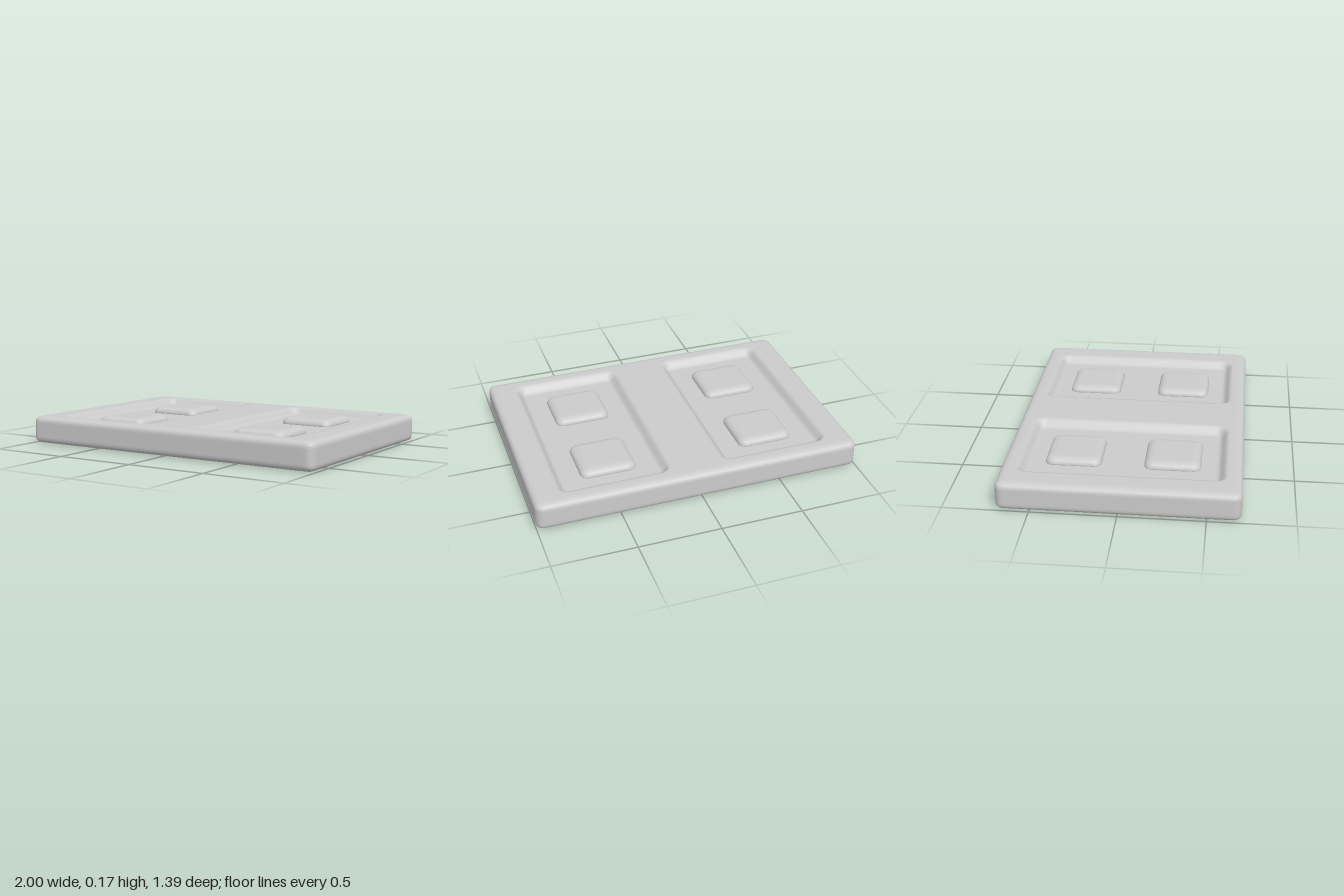
import * as THREE from 'three';
import { mergeVertices } from 'three/addons/utils/BufferGeometryUtils.js';

const WIDTH = 2, DEPTH = 1.39, HEIGHT = 0.17;
const RECESS = { x: 0.5, halfX: 0.325, halfZ: 0.585, corner: 0.05, depth: 0.045, slope: 0.035 };

// Box standing on y = 0 with elliptically rounded edges; rule() may then move each vertex
function softBox(w, h, d, rSide, rUp, segs, rule) {
  const geo = new THREE.BoxGeometry(w, h, d, ...segs);
  geo.deleteAttribute('uv');
  geo.deleteAttribute('normal');
  const pos = geo.attributes.position;
  const radius = new THREE.Vector3(rSide, rUp, rSide);
  const inner = new THREE.Vector3(w / 2, h / 2, d / 2).sub(radius);
  const lower = inner.clone().negate();
  const p = new THREE.Vector3(), core = new THREE.Vector3();
  for (let i = 0; i < pos.count; i++) {
    p.fromBufferAttribute(pos, i);
    core.copy(p).clamp(lower, inner);
    p.sub(core).divide(radius).normalize().multiply(radius).add(core);
    p.y += h / 2;
    rule(p);
    pos.setXYZ(i, p.x, p.y, p.z);
  }
  const merged = mergeVertices(geo, 1e-5);
  merged.computeVertexNormals();
  return merged;
}

// Signed distance to the rounded outline of the nearer recess
function recessDistance(x, z) {
  const { corner } = RECESS;
  const qx = Math.abs(Math.abs(x) - RECESS.x) - RECESS.halfX + corner;
  const qz = Math.abs(z) - RECESS.halfZ + corner;
  return Math.hypot(Math.max(qx, 0), Math.max(qz, 0)) + Math.min(Math.max(qx, qz), 0) - corner;
}

export function createModel() {
  const model = new THREE.Group();
  model.name = 'panelledSlab';
  const material = new THREE.MeshStandardMaterial({ color: 0xcccccc });

  // Slab with two sunken rectangular panels in its top
  const slabGeo = softBox(WIDTH, HEIGHT, DEPTH, 0.05, 0.03, [160, 12, 112], (p) => {
    if (p.y < HEIGHT - 1e-4) return;
    const sink = 1 - THREE.MathUtils.smoothstep(recessDistance(p.x, p.z), -RECESS.slope, RECESS.slope * 0.5);
    p.y -= RECESS.depth * sink;
  });
  const slab = new THREE.Mesh(slabGeo, material);
  slab.name = 'slab';
  model.add(slab);

  // Soft square pads with flared feet, two in each panel
  const padHeight = 0.055;
  const padGeo = softBox(0.34, padHeight, 0.33, 0.05, 0.025, [32, 12, 32], (p) => {
    const t = 1 - p.y / padHeight;
    const flare = 0.96 + 0.12 * t * t;
    p.x *= flare;
    p.z *= flare;
  });
  for (const [side, x] of [['left', RECESS.x], ['right', -RECESS.x]]) {
    for (const [end, z] of [['Back', -0.295], ['Front', 0.285]]) {
      const pad = new THREE.Mesh(padGeo, material);
      pad.name = `${side}${end}Pad`;
      pad.position.set(x, 0.11, z);
      model.add(pad);
    }
  }
  return model;
}
